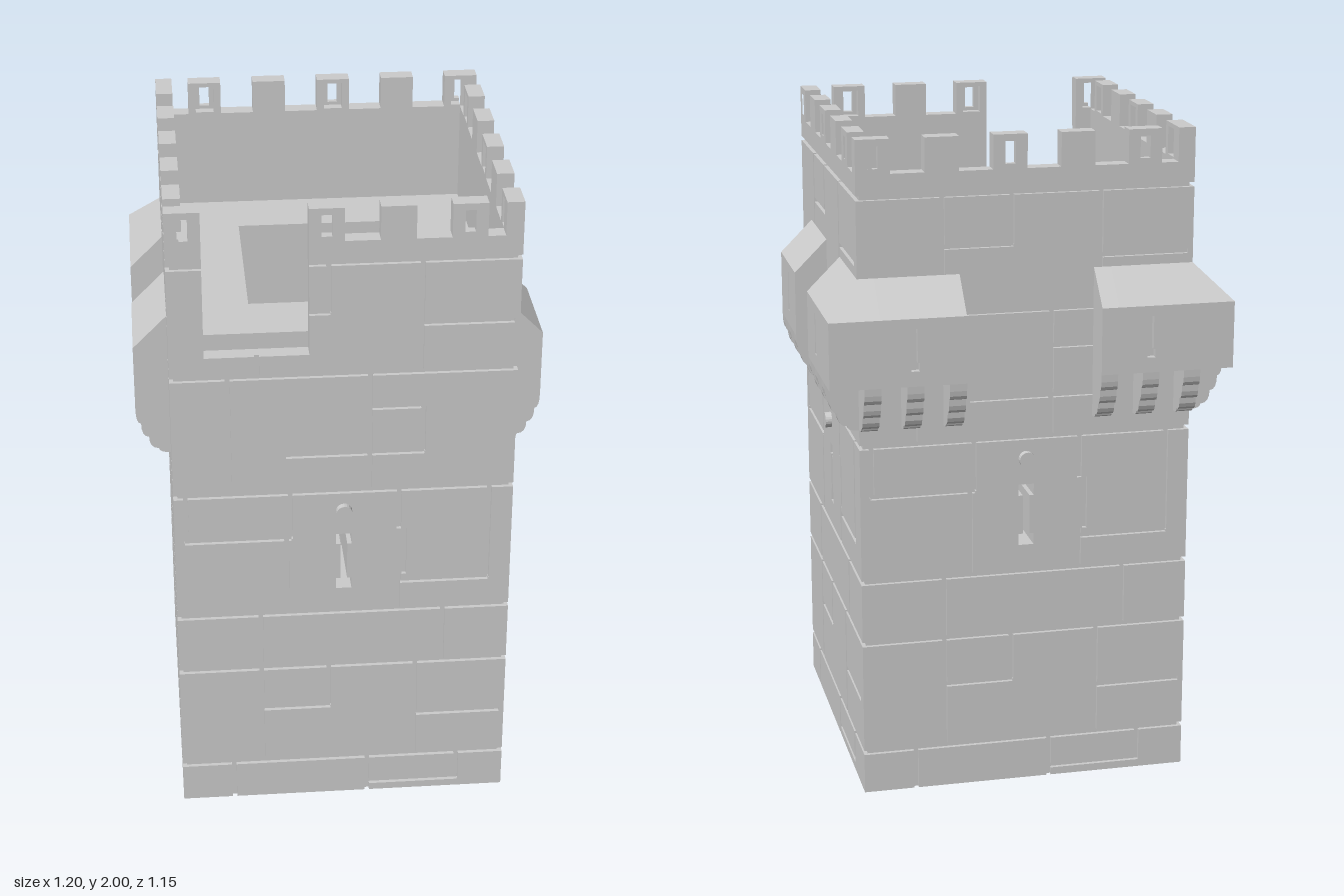
import * as THREE from 'three';

const mat = new THREE.MeshStandardMaterial({ color: 0xcccccc, flatShading: true });
const GROOVE = 0.012, PARAPET = 0.05, SHAFT = 0.24, FLOOR = 1.6;

function add(parent, geo, name) {
  const m = new THREE.Mesh(geo, mat);
  m.name = name;
  parent.add(m);
  return m;
}

// Relief panel facing +z. Each rect [u0, u1, v0, v1, depth, open] sinks an area;
// open areas get side walls but no back. Later rects win. rim = depth of the top edge.
function panel(a, b, y0, y1, rects, rim = 0) {
  const cuts = (lo, hi, k) => {
    const all = [lo, hi, ...rects.flatMap(r => [r[k], r[k + 1]])].filter(t => t >= lo && t <= hi);
    return all.sort((p, q) => p - q).filter((t, i) => i === 0 || t - all[i - 1] > 1e-5);
  };
  const us = cuts(a, b, 0), vs = cuts(y0, y1, 2), pos = [];
  const quad = (p, q, r, s) => pos.push(...p, ...q, ...r, ...p, ...r, ...s);
  const cell = (i, j) => {
    if (i >= us.length - 1) return null;
    if (j >= vs.length - 1) return [rim, true];
    const u = (us[i] + us[i + 1]) / 2, v = (vs[j] + vs[j + 1]) / 2;
    const hit = rects.findLast(r => u > r[0] && u < r[1] && v > r[2] && v < r[3]);
    return hit ? [hit[4], !!hit[5]] : [0, false];
  };
  for (let i = 0; i < us.length - 1; i++) for (let j = 0; j < vs.length - 1; j++) {
    const [d, open] = cell(i, j), u0 = us[i], u1 = us[i + 1], v0 = vs[j], v1 = vs[j + 1];
    if (!open) quad([u0, v0, -d], [u1, v0, -d], [u1, v1, -d], [u0, v1, -d]);
    const side = cell(i + 1, j), top = cell(i, j + 1);
    if (side && side[0] !== d) quad([u1, v0, -d], [u1, v0, -side[0]], [u1, v1, -side[0]], [u1, v1, -d]);
    if (top[0] !== d) quad([u0, v1, -d], [u1, v1, -d], [u1, v1, -top[0]], [u0, v1, -top[0]]);
  }
  const g = new THREE.BufferGeometry();
  g.setAttribute('position', new THREE.Float32BufferAttribute(pos, 3));
  g.computeVertexNormals();
  return g;
}
const flip = rects => rects.map(([u0, u1, ...rest]) => [-u1, -u0, ...rest]);

// Joints between stones: courses, then short vertical [u, v0, v1] and horizontal [v, u0, u1] ones
const COURSES = [0.13, 0.48, 0.675, 1.095, 1.482, 1.832];
const UPRIGHT = [
  [0.16, 0, 0.13], [0.575, 0, 0.13], [0.855, 0.025, 0.13],
  [0.25, 0.13, 0.48], [0.455, 0.33, 0.48], [0.72, 0.13, 0.48],
  [0.25, 0.48, 0.675], [0.8, 0.48, 0.675],
  [0.035, 0.94, 1.095], [0.33, 0.675, 0.94], [0.342, 0.94, 1.095],
  [0.663, 0.675, 0.8], [0.68, 0.8, 0.96], [0.663, 0.96, 1.095], [0.93, 0.775, 1.095],
  [0.165, 1.095, 1.482], [0.575, 1.095, 1.482], [0.73, 1.22, 1.37],
  [0.25, 1.482, 1.832], [0.455, 1.68, 1.832], [0.72, 1.482, 1.832],
];
const LEVEL = [
  [0.03, 0.575, 0.86], [0.33, 0.25, 0.46], [0.285, 0.72, 0.985], [0.94, 0.03, 0.345],
  [0.775, 0.663, 0.935], [1.22, 0.33, 0.575], [1.37, 0.575, 0.735], [1.22, 0.575, 0.735],
  [1.68, 0.25, 0.46], [1.635, 0.72, 0.985],
];
function joints(a, b) {
  const h = 0.007, out = [];
  for (const [u, v0, v1] of UPRIGHT) out.push([u - h, u + h, v0, v1, GROOVE]);
  for (const [v, u0, u1] of LEVEL) out.push([u0, u1, v - h, v + h, GROOVE]);
  for (const v of COURSES) {
    out.push([a, b, v - h, v + h, GROOVE]);
    out.push([a, a + GROOVE, v - h, v + h, GROOVE, true], [b - GROOVE, b, v - h, v + h, GROOVE, true]);
  }
  return out;
}

// One tower side from u = a to b, with the outside facing +z
function wall(a, b, door) {
  const g = new THREE.Group();
  const slit = d => [
    [0.49, 0.51, 0.78, 0.93, d, true],
    [0.477, 0.523, 0.915, 0.95, d, true], [0.477, 0.523, 0.76, 0.795, d, true]];
  const crenels = d => [1, 3, 5, 7, 9].map(k =>
    [k / 10, k === 9 ? b - PARAPET : (k + 1) / 10, 1.9, 2, d, true]);
  const loops = d => [0.05, 0.45, 0.85].map(u => [u - 0.015, u + 0.015, 1.915, 1.98, d, true]);
  const flares = [0.05, 0.45, 0.85].map(u => [u - 0.028, u + 0.028, 1.905, 1.987, 0.03]);
  const doorway = d => door
    ? [[0.1, 0.4, FLOOR, 2, d, true], [0.1, 0.4, 1.55, FLOOR, PARAPET]] : [];

  add(g, panel(a, b, 0, 2, [...joints(a, b), ...slit(SHAFT), ...loops(0),
    ...crenels(PARAPET), ...doorway(PARAPET)], PARAPET), 'stoneFace');

  const inner = add(g, panel(PARAPET - b, -a - PARAPET, FLOOR, 2,
    flip([...flares, ...loops(PARAPET), ...crenels(0), ...doorway(0)])), 'parapetInside');
  inner.rotation.y = Math.PI;
  inner.position.z = -PARAPET;

  const shaft = add(g, panel(SHAFT - b, -a - SHAFT, 0, FLOOR, flip(slit(0))), 'shaftWall');
  shaft.rotation.y = Math.PI;
  shaft.position.z = -SHAFT;

  const peg = add(g, new THREE.CylinderGeometry(0.024, 0.024, 0.04, 20), 'peg');
  peg.rotation.x = Math.PI / 2;
  peg.position.set(0.5, 1.03, 0);
  return g;
}

// Turret cross-section (outward, height): with a scalloped corbel, or hollowed underneath
function section(corbel, notch) {
  const s = new THREE.Shape();
  s.moveTo(0, 1.6);
  s.lineTo(0.1, 1.5);
  if (notch) { s.lineTo(0.08, 1.5); s.lineTo(0.08, 1.3); }
  s.lineTo(0.1, 1.3);
  if (corbel) {
    const p = [[0.1, 1.3], [0.085, 1.25], [0.063, 1.205], [0.035, 1.165], [0, 1.15]];
    for (let i = 1; i < p.length; i++) s.quadraticCurveTo(p[i - 1][0], p[i][1], p[i][0], p[i][1]);
  } else {
    s.lineTo(0.09, 1.3);
    s.lineTo(0, 1.42);
  }
  s.closePath();
  return s;
}

// Extrudes a section from u0 to u1; mitre -1 or 1 slants that end for a hipped corner
function segment(parent, shape, u0, u1, name, mitre = 0) {
  const geo = new THREE.ExtrudeGeometry(shape, { depth: u1 - u0, bevelEnabled: false, curveSegments: 4 });
  const p = geo.attributes.position;
  for (let i = 0; i < p.count; i++) {
    const far = p.getZ(i) > (u1 - u0) / 2;
    if (mitre > 0 && !far) p.setZ(i, -p.getX(i));
    if (mitre < 0 && far) p.setZ(i, u1 - u0 + p.getX(i));
  }
  geo.computeVertexNormals();
  geo.rotateY(-Math.PI / 2);
  geo.translate(u1, 0, 0);
  add(parent, geo, name);
}

// Overhanging turret: three corbels, two openings between, one arrow loop
function turret(parent, u0, u1, mitre = 0) {
  const g = new THREE.Group();
  g.name = 'turret';
  const w = 0.05, m = (u0 + u1) / 2;
  segment(g, section(true), u0, u0 + w, 'corbel');
  segment(g, section(false), u0 + w, m - w / 2, 'machicolation');
  segment(g, section(true, true), m - w / 2, m + w / 2, 'corbel');
  segment(g, section(false), m + w / 2, u1 - w, 'machicolation');
  segment(g, section(true), u1 - w, u1, 'corbel');
  const loop = add(g, panel(m - w / 2, m + w / 2, 1.3, 1.5, [
    [m - 0.006, m + 0.006, 1.36, 1.47, 0.02], [m - 0.012, m + 0.012, 1.345, 1.37, 0.02]]), 'arrowLoop');
  loop.position.z = 0.1;
  if (mitre > 0) segment(g, section(false), u1 - 0.01, u1, 'turretCorner', 1);
  if (mitre < 0) segment(g, section(false), u0, u0 + 0.01, 'turretCorner', -1);
  parent.add(g);
}

// Horizontal slab face with the shaft opening
function slab(x, zBack, zFront) {
  const rect = (C, hx, z0, z1) => new C([[-hx, -z1], [hx, -z1], [hx, -z0], [-hx, -z0]]
    .map(p => new THREE.Vector2(...p)));
  const s = rect(THREE.Shape, x, zBack, zFront);
  s.holes.push(rect(THREE.Path, 0.26, -0.235, 0.315));
  return new THREE.ShapeGeometry(s).rotateX(-Math.PI / 2);
}

export function createModel() {
  const tower = new THREE.Group();
  tower.name = 'castleTower';
  // name, start, end, position, turn, turrets [u0, u1, mitre]
  const sides = [
    ['frontWall', 0, 1, [-0.5, 0, 0.555], 0, []],
    ['leftWall', 0, 1.03, [0.5, 0, 0.555], Math.PI / 2, [[0.18, 0.48], [0.73, 1.03, 1]]],
    ['backWall', 0, 1, [0.5, 0, -0.475], Math.PI, [[0, 0.3, -1], [0.7, 1, 1]]],
    ['rightWall', -0.03, 1, [-0.5, 0, -0.445], -Math.PI / 2, [[-0.03, 0.27, -1], [0.52, 0.82]]],
  ];
  for (const [name, a, b, pos, turn, turrets] of sides) {
    const w = wall(a, b, name === 'frontWall');
    w.name = name;
    w.position.set(...pos);
    w.rotation.y = turn;
    for (const t of turrets) turret(w, ...t);
    tower.add(w);
  }
  add(tower, slab(0.45, -0.425, 0.505), 'roofFloor').position.y = FLOOR;
  const base = slab(0.5, -0.475, 0.555);
  base.setIndex([...base.index.array].reverse());
  base.computeVertexNormals();
  add(tower, base, 'base');
  return tower;
}
